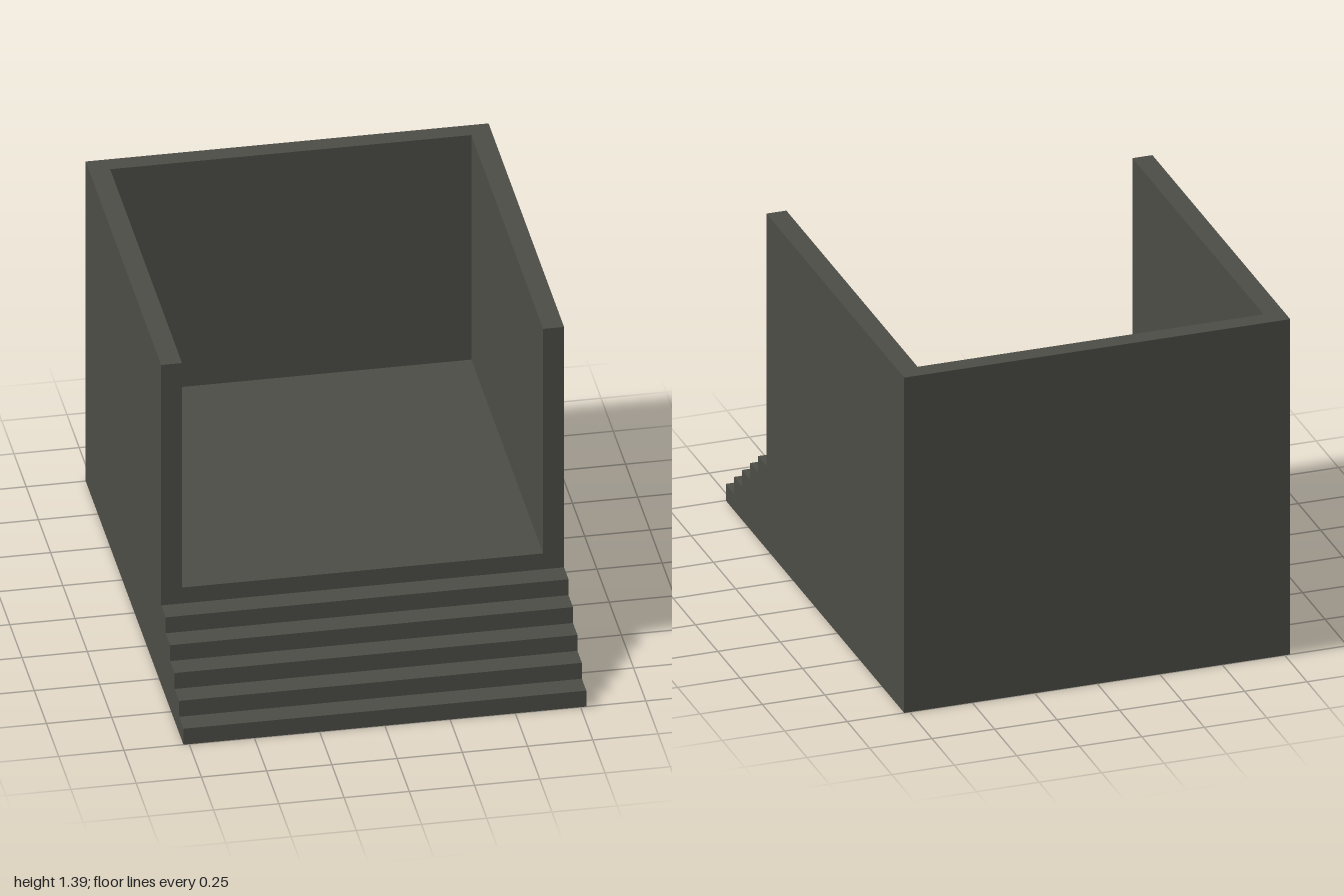
import * as THREE from 'three';

// Main dimensions
const X = 0.772, XI = 0.692;        // outer and inner half width
const BACK = -1, BACK_I = -0.926;   // outer and inner back wall
const FRONT = 0.545, TOP = 1.395;   // wall front and wall top
const STEPS = 6, RISE = 0.0692, RUN = (1 - FRONT) / 5;
const FLOOR = STEPS * RISE;

export function createModel() {
  const model = new THREE.Group();
  const stone = new THREE.MeshStandardMaterial({ color: 0x4c4c46, side: THREE.DoubleSide });
  stone.name = 'dark stone';

  const add = (name, geometry, x = 0, y = 0, z = 0) => {
    const mesh = new THREE.Mesh(geometry, stone);
    mesh.name = name;
    mesh.position.set(x, y, z);
    model.add(mesh);
  };
  const outline = (points) =>
    new THREE.ShapeGeometry(new THREE.Shape(points.map(([a, b]) => new THREE.Vector2(a, b))));

  // Upright panel facing +z (or -z), and level panel facing up
  const upright = (name, x0, x1, y0, y1, z, facing = 1) =>
    add(name, new THREE.PlaneGeometry(x1 - x0, y1 - y0).rotateY(facing > 0 ? 0 : Math.PI),
      (x0 + x1) / 2, (y0 + y1) / 2, z);
  const level = (name, halfWidth, z0, z1, y) =>
    add(name, new THREE.PlaneGeometry(2 * halfWidth, z1 - z0).rotateX(-Math.PI / 2),
      0, y, (z0 + z1) / 2);

  // Staircase: thin risers and treads, open underneath
  const profile = [[BACK, 0], [1, 0]];
  for (let i = 0; i < STEPS; i++) {
    const z = 1 - i * RUN, y = (i + 1) * RISE;
    const half = i === STEPS - 1 ? XI : X;
    upright('stepRiser', -half, half, y - RISE, y, z);
    if (i < STEPS - 1) {
      level('stepTread', X, z - RUN, z, y);
      profile.push([z, y], [z - RUN, y]);
    }
  }
  profile.push([FRONT, TOP], [BACK, TOP]);

  // Raised floor
  level('floor', XI, BACK_I, FRONT, FLOOR);

  // Mirrored side walls: stepped outer skin, inner skin and front end
  for (const s of [1, -1]) {
    add('outerSideWall',
      outline(profile.map(([z, y]) => [-s * z, y])).rotateY(s * Math.PI / 2), s * X);
    add('innerSideWall',
      new THREE.PlaneGeometry(FRONT - BACK_I, TOP - FLOOR).rotateY(-s * Math.PI / 2),
      s * XI, (TOP + FLOOR) / 2, (FRONT + BACK_I) / 2);
    upright('wallFrontEnd', s > 0 ? XI : -X, s > 0 ? X : -XI, FLOOR - RISE, TOP, FRONT);
  }

  // Back wall skins
  upright('outerBackWall', -X, X, 0, TOP, BACK, -1);
  upright('innerBackWall', -XI, XI, FLOOR, TOP, BACK_I);

  // U-shaped rim closing the top of the hollow walls
  add('wallRim', outline([
    [-X, -FRONT], [-XI, -FRONT], [-XI, -BACK_I], [XI, -BACK_I],
    [XI, -FRONT], [X, -FRONT], [X, -BACK], [-X, -BACK],
  ]).rotateX(-Math.PI / 2), 0, TOP);

  return model;
}
